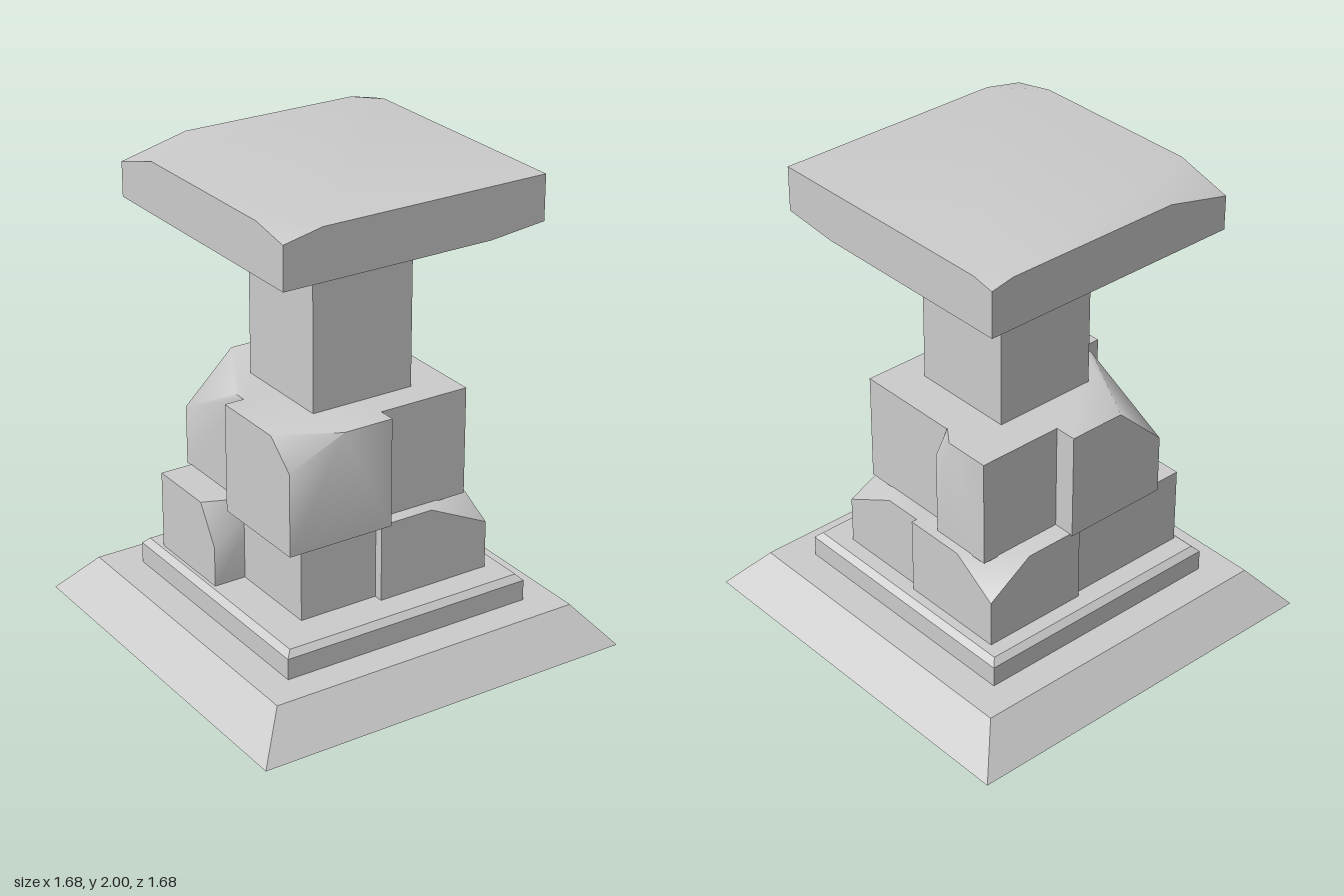
import * as THREE from 'three';
import { ConvexGeometry } from 'three/addons/geometries/ConvexGeometry.js';
import { toCreasedNormals } from 'three/addons/utils/BufferGeometryUtils.js';

const material = new THREE.MeshStandardMaterial({ color: 0xcccccc });

// A stone block with chipped corners.
// Each chip is [sx, sy, sz, drop, alongX, alongZ]: the corner with those signs is
// lowered by drop and the chip runs out along both neighbouring edges.
function block(name, [x0, x1], [y0, y1], [z0, z1], chips = []) {
  const points = [];
  for (const sx of [-1, 1]) for (const sy of [-1, 1]) for (const sz of [-1, 1]) {
    const x = sx < 0 ? x0 : x1, y = sy < 0 ? y0 : y1, z = sz < 0 ? z0 : z1;
    const chip = chips.find(c => c[0] === sx && c[1] === sy && c[2] === sz);
    if (chip) {
      const [, , , drop, alongX, alongZ] = chip;
      points.push(
        new THREE.Vector3(x, y - sy * drop, z),
        new THREE.Vector3(x - sx * alongX, y, z),
        new THREE.Vector3(x, y, z - sz * alongZ));
    } else points.push(new THREE.Vector3(x, y, z));
  }
  const mesh = new THREE.Mesh(toCreasedNormals(new ConvexGeometry(points), 0.95), material);
  mesh.name = name;
  return mesh;
}

// A square slab whose sides lean in from half-width b to half-width t
function taperedSlab(name, b, t, y0, y1) {
  const geometry = new THREE.BoxGeometry(2, 1, 2);
  const p = geometry.attributes.position;
  for (let i = 0; i < p.count; i++) {
    const top = p.getY(i) > 0, half = top ? t : b;
    p.setXYZ(i, p.getX(i) * half, top ? y1 : y0, p.getZ(i) * half);
  }
  geometry.computeVertexNormals();
  const mesh = new THREE.Mesh(geometry, material);
  mesh.name = name;
  return mesh;
}

export function createModel() {
  const model = new THREE.Group();
  model.name = 'stonePedestal';

  // Sloping base and chamfered step
  model.add(
    taperedSlab('base', 0.84, 0.7, 0, 0.165),
    taperedSlab('step', 0.565, 0.565, 0.165, 0.255),
    taperedSlab('stepChamfer', 0.565, 0.54, 0.255, 0.28));

  // Lower ring of four stones
  const low = [0.28, 0.615];
  const lower = new THREE.Group();
  lower.name = 'lowerStones';
  lower.add(
    block('lowerFrontRight', [-0.385, -0.035], low, [-0.04, 0.38]),
    block('lowerFrontLeft', [-0.035, 0.475], low, [0, 0.42], [[1, 1, 1, 0.13, 0.27, 0.25]]),
    block('lowerBackLeft', [0.035, 0.5], low, [-0.475, 0], [[1, 1, -1, 0.13, 0.2, 0.2]]),
    block('lowerBackRight', [-0.525, 0.035], low, [-0.453, -0.04], [[-1, 1, 1, 0.16, 0.25, 0.1]]));

  // Upper ring of four stones
  const high = [0.61, 1.075];
  const upper = new THREE.Group();
  upper.name = 'upperStones';
  upper.add(
    block('upperFrontRight', [-0.47, 0], high, [-0.03, 0.435], [[-1, 1, 1, 0.11, 0.25, 0.13]]),
    block('upperFrontLeft', [0, 0.405], high, [-0.11, 0.36]),
    block('upperBackLeft', [0.085, 0.46], high, [-0.39, -0.11], [[1, 1, 1, 0.1, 0.06, 0.08]]),
    block('upperBackRight', [-0.384, 0.085], high, [-0.485, -0.03], [[-1, 1, -1, 0.21, 0.22, 0.4]]));

  // Column and worn cap slab
  const half = [-0.585, 0.585];
  model.add(lower, upper,
    block('column', [-0.23, 0.23], [1.07, 1.79], [-0.23, 0.23]),
    block('cap', half, [1.785, 2], half, [
      [-1, 1, 1, 0.035, 0.17, 0.18],
      [-1, 1, -1, 0.07, 0.29, 0.24],
      [1, 1, -1, 0.02, 0.1, 0.1],
      [1, -1, 1, 0.025, 0.25, 0.25],
    ]));
  return model;
}
